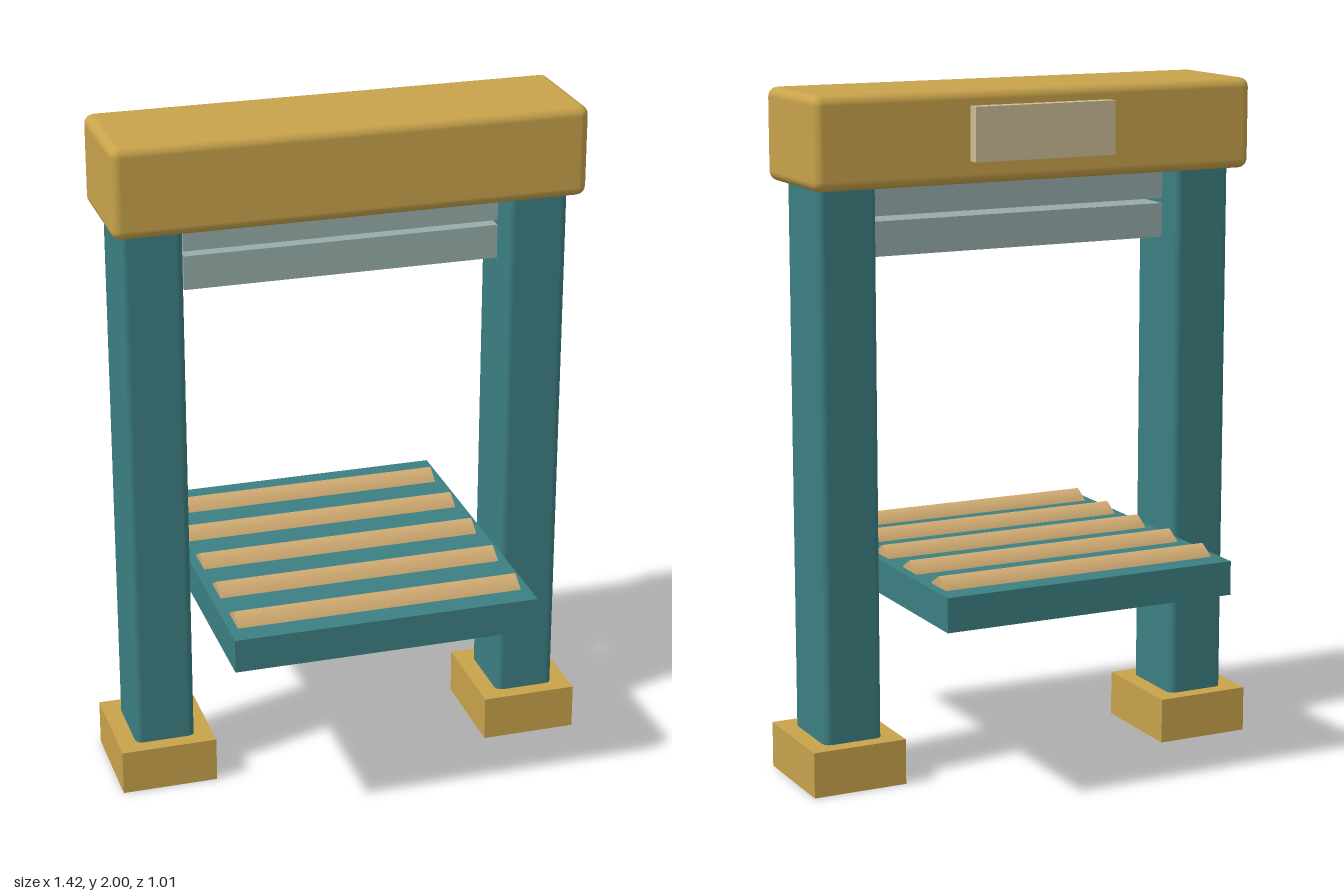
import * as THREE from 'three';
import { RoundedBoxGeometry } from 'three/addons/geometries/RoundedBoxGeometry.js';

function material(name, color) {
  const m = new THREE.MeshStandardMaterial({ color });
  m.name = name;
  return m;
}

export function createModel() {
  const model = new THREE.Group();
  model.name = 'scannerArch';

  const gold = material('gold', 0xc8a34b);
  const teal = material('teal', 0x3c7f82);
  const tan = material('tan', 0xd2ac73);
  const greyGreen = material('greyGreen', 0x96adaa);
  const beige = material('beige', 0xcdbd98);

  function add(name, geometry, mat, x, y, z) {
    const mesh = new THREE.Mesh(geometry, mat);
    mesh.name = name;
    mesh.position.set(x, y, z);
    model.add(mesh);
    return mesh;
  }

  // Posts standing in square feet
  for (const [side, s] of [['left', 1], ['right', -1]]) {
    add(side + 'Foot', new THREE.BoxGeometry(0.286, 0.135, 0.322), gold, s * 0.567, 0.0675, 0);
    add(side + 'Post', new RoundedBoxGeometry(0.18, 1.76, 0.23, 2, 0.022), teal, s * 0.567, 0.92, 0);
  }

  // Rounded top beam with a plate on its back
  add('topBeam', new RoundedBoxGeometry(1.38, 0.265, 0.358, 3, 0.028), gold, 0, 1.8675, 0);
  add('backPlate', new THREE.BoxGeometry(0.44, 0.155, 0.05), beige, 0, 1.878, -0.19);

  // Two hanging slats under the beam
  for (const y of [1.58, 1.695]) {
    add('hangingSlat', new THREE.BoxGeometry(0.93, 0.1, 0.11), greyGreen, 0, y, 0);
  }

  // Platform with five six-sided rollers sunk into its top
  add('platform', new THREE.BoxGeometry(0.9, 0.1, 1.014), teal, 0, 0.596, 0);
  const roller = new THREE.CylinderGeometry(0.055, 0.055, 0.846, 6);
  roller.rotateY(Math.PI / 2).rotateZ(Math.PI / 2);
  for (let i = -2; i <= 2; i++) add('roller', roller, tan, 0, 0.622, i * 0.195);

  return model;
}
